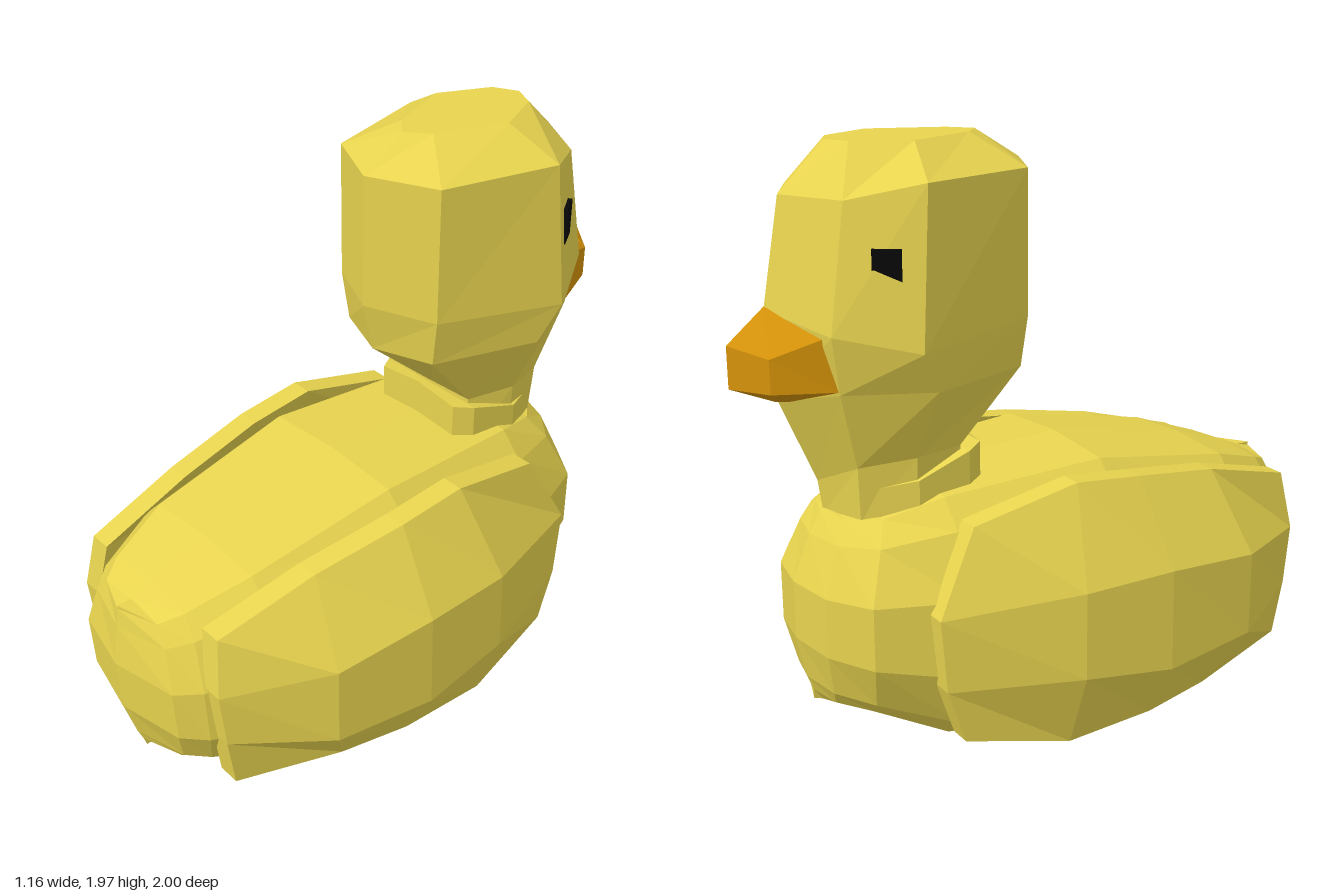
import * as THREE from 'three';

const paint = (color) => new THREE.MeshStandardMaterial({ color, flatShading: true, side: THREE.DoubleSide });

// Skin a list of closed rings (each a list of [x, y, z]) with flat facets.
function loft(name, rings, material) {
  const pos = [];
  const tri = (...pts) => {
    const [a, b, c] = pts.map((p) => new THREE.Vector3(...p));
    if (b.clone().sub(a).cross(c.clone().sub(a)).length() > 1e-7) pos.push(...pts.flat());
  };
  for (let i = 0; i + 1 < rings.length; i++) {
    const n = rings[i].length;
    for (let j = 0; j < n; j++) {
      const k = (j + 1) % n;
      const a = rings[i][j], b = rings[i][k], c = rings[i + 1][k], d = rings[i + 1][j];
      tri(a, b, c);
      tri(a, c, d);
    }
  }
  const geo = new THREE.BufferGeometry();
  geo.setAttribute('position', new THREE.Float32BufferAttribute(pos, 3));
  geo.computeVertexNormals();
  const mesh = new THREE.Mesh(geo, material);
  mesh.name = name;
  return mesh;
}

// Complete a half ring (first and last point on x = 0) by mirroring it.
const mirrorRing = (half) => [...half, ...half.slice(1, -1).reverse().map(([x, y, z]) => [-x, y, z])];
const flatten = (half) => half.map(([, y, z]) => [0, y, z]);

function makeBody(material) {
  const fx = [0, 0.6, 0.8, 1, 1, 0.8, 0.6, 0];
  const fy = [1, 0.98, 0.88, 0.65, 0.35, 0.13, 0.05, 0];
  const tail = [-0.03, -0.03, -0.02, 0, -0.01, -0.05, -0.07, -0.08];
  const chest = [0.11, 0.1, 0.06, 0, 0, 0.03, 0.05, 0.05];
  // z, half width, top, bottom, lean of each row along z
  const sections = [
    [1.0, 0, 0.77, 0.15, tail],
    [0.95, 0.23, 0.77, 0.15, tail],
    [0.88, 0.3, 0.8, 0.13, tail],
    [0.64, 0.4, 0.87, 0.08],
    [0.12, 0.46, 0.965, 0.01],
    [-0.43, 0.41, 0.93, 0.07],
    [-0.71, 0.31, 0.87, 0.19, chest],
    [-0.8, 0.17, 0.86, 0.21, chest],
    [-0.83, 0, 0.86, 0.22, chest],
  ];
  return loft('body', sections.map(([z, w, top, bottom, lean]) => mirrorRing(
    fx.map((f, i) => [f * w, bottom + (top - bottom) * fy[i], z + (lean ? lean[i] : 0)]))), material);
}

function makeHead(material) {
  // Each half ring runs from the nape, round the cheek, to the face
  const halves = [
    [[0, 0.84, -0.32], [0.17, 0.84, -0.33], [0.2, 0.84, -0.5], [0.14, 0.84, -0.66], [0, 0.84, -0.72]],
    [[0, 1.04, -0.32], [0.17, 1.04, -0.33], [0.21, 1.04, -0.5], [0.15, 1.02, -0.67], [0, 0.95, -0.735]],
    [[0, 1.27, -0.055], [0.2, 1.27, -0.13], [0.32, 1.27, -0.48], [0.2, 1.27, -0.74], [0, 1.22, -0.85]],
    [[0, 1.44, -0.015], [0.225, 1.43, -0.12], [0.355, 1.4, -0.545], [0.22, 1.45, -0.77], [0, 1.5, -0.88]],
    [[0, 1.88, -0.015], [0.225, 1.88, -0.12], [0.33, 1.88, -0.51], [0.2, 1.83, -0.71], [0, 1.83, -0.82]],
    [[0, 1.975, -0.17], [0.07, 1.975, -0.23], [0.16, 1.975, -0.46], [0.08, 1.975, -0.63], [0, 1.975, -0.67]],
  ];
  halves.push(flatten(halves.at(-1)));
  return loft('head', halves.map(mirrorRing), material);
}

function makeCollar(material) {
  const half = (y) => [[0, y + 0.02, -0.26], [0.17, y, -0.26], [0.21, y - 0.01, -0.32],
    [0.22, y - 0.07, -0.5], [0.14, y - 0.1, -0.66], [0, y - 0.1, -0.72]];
  const top = half(1.04);
  return loft('neckCollar', [half(0.9), top, flatten(top)].map(mirrorRing), material);
}

function makeBeak(material) {
  return loft('beak', [
    [[0, 1.53, -0.8], [0.2, 1.45, -0.76], [0.2, 1.28, -0.74], [0, 1.2, -0.79]],
    [[0, 1.51, -0.88], [0.12, 1.385, -0.92], [0.12, 1.28, -0.92], [0, 1.22, -0.86]],
    [[0, 1.41, -1], [0, 1.41, -1], [0, 1.28, -1], [0, 1.28, -1]],
  ].map(mirrorRing), material);
}

function makeWing(side, material) {
  const thickness = 0.075;
  // Outer skin: columns from tail to chest, each from top to bottom
  const columns = [
    [[0.33, 0.775, 0.84], [0.36, 0.58, 0.87], [0.36, 0.38, 0.85], [0.35, 0.19, 0.82]],
    [[0.37, 0.865, 0.5], [0.535, 0.61, 0.55], [0.535, 0.33, 0.55], [0.43, 0.13, 0.45]],
    [[0.41, 0.915, 0.18], [0.575, 0.645, 0.2], [0.582, 0.31, 0.2], [0.47, 0.11, 0.2]],
    [[0.415, 0.94, -0.06], [0.565, 0.64, -0.12], [0.57, 0.355, -0.12], [0.48, 0.1, -0.12]],
    [[0.39, 0.86, -0.41], [0.43, 0.6, -0.55], [0.43, 0.36, -0.53], [0.43, 0.18, -0.47]],
  ];
  const ring = (col, t) => {
    const pts = [...col, ...col.map(([x, y, z]) => [x - t, y, z]).reverse()].map(([x, y, z]) => [side * x, y, z]);
    return side > 0 ? pts : pts.reverse();
  };
  // Rings of zero thickness close the two ends
  const rings = [ring(columns[0], 0), ...columns.map((c) => ring(c, thickness)), ring(columns.at(-1), 0)];
  return loft(side > 0 ? 'leftWing' : 'rightWing', rings, material);
}

function makeEye(side, material) {
  const eye = new THREE.Mesh(new THREE.BoxGeometry(0.02, 0.12, 0.085), material);
  eye.name = side > 0 ? 'leftEye' : 'rightEye';
  eye.position.set(side * 0.28, 1.64, -0.618);
  eye.rotation.y = side * 0.56;
  return eye;
}

export function createModel() {
  const group = new THREE.Group();
  group.name = 'duck';
  const yellow = paint(0xe8d44f), orange = paint(0xd6930a), black = paint(0x080808);
  group.add(makeBody(yellow), makeCollar(yellow), makeHead(yellow), makeBeak(orange));
  for (const side of [1, -1]) group.add(makeWing(side, yellow), makeEye(side, black));
  return group;
}
